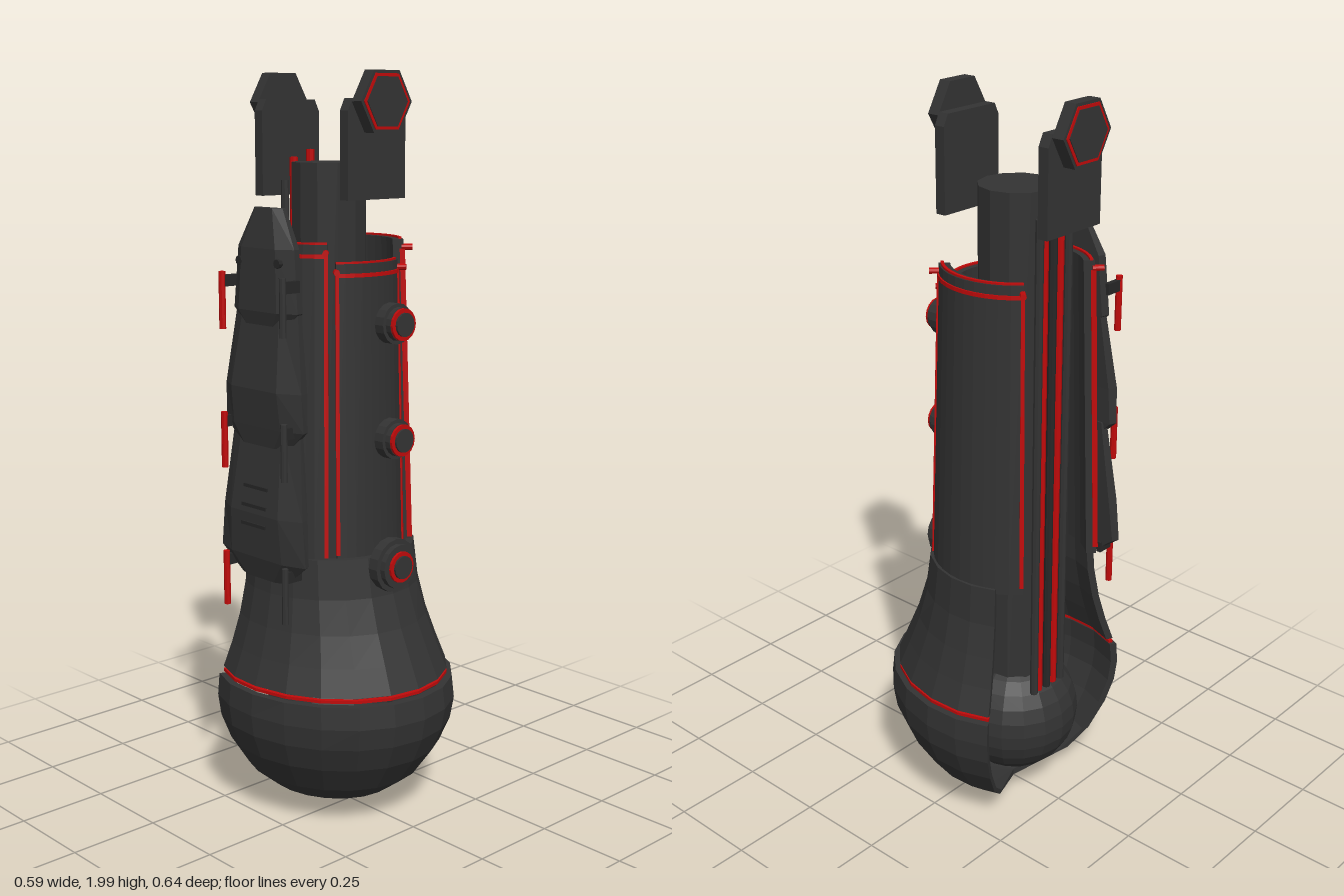
import * as THREE from 'three';

const mat = (name, color, extra = {}) => {
  const m = new THREE.MeshStandardMaterial({ color, ...extra });
  m.name = name;
  return m;
};
const CX = -0.08; // x of the main vertical axis
const DEG = Math.PI / 180;

// Skin a row of equal-length closed loops and cap both ends with ribbons
function loft(loops) {
  const pos = [];
  const tri = (...p) => p.forEach((v) => pos.push(v[0], v[1], v[2]));
  const n = loops[0].length;
  for (let j = 0; j < loops.length - 1; j++) {
    const A = loops[j], B = loops[j + 1];
    for (let i = 0; i < n; i++) {
      const k = (i + 1) % n;
      tri(A[i], A[k], B[i]);
      tri(A[k], B[k], B[i]);
    }
  }
  const S = loops[0], E = loops[loops.length - 1];
  for (let i = 0; i < n / 2 - 1; i++) {
    const [a, b, c, d] = [i, i + 1, n - 2 - i, n - 1 - i];
    tri(E[a], E[b], E[c]); tri(E[a], E[c], E[d]);
    tri(S[a], S[c], S[b]); tri(S[a], S[d], S[c]);
  }
  const g = new THREE.BufferGeometry();
  g.setAttribute('position', new THREE.Float32BufferAttribute(pos, 3));
  g.computeVertexNormals();
  return g;
}

// Thick partial revolve; rows are [y, radius, x stretch on the +x side]
function shell(rows, a0, a1, segs, t) {
  const inner = rows.map(([y, r, s], i) => [i === 0 && r < t ? y + t : y, Math.max(r - t, 0), s]).reverse();
  const loops = [];
  for (let j = 0; j <= segs; j++) {
    const a = (a0 + (a1 - a0) * j / segs) * DEG, c = Math.cos(a), s = Math.sin(a);
    loops.push([...rows, ...inner].map(([y, r, k = 1]) => [CX + r * c * (c > 0 ? k : 1), y, r * s]));
  }
  return loft(loops);
}

// Faceted armour plate; rows are [y, half width, back z, front z]
function armour(rows) {
  return loft(rows.map(([y, w, b, f]) => {
    const m = b + (f - b) * 0.45;
    return [[-w, m], [-0.6 * w, f], [0.6 * w, f], [w, m], [0.95 * w, b], [0.6 * w, b], [-0.6 * w, b], [-0.95 * w, b]]
      .map(([x, z]) => [CX + x, y, z]);
  }));
}

export function createModel() {
  const group = new THREE.Group();
  const grey = mat('dark grey', 0x333333, { flatShading: true });
  const dark = mat('deep grey', 0x272727, { flatShading: true });
  const red = mat('red', 0xc00a0a, { flatShading: true });
  const add = (name, geo, m, x = 0, y = 0, z = 0) => {
    const mesh = new THREE.Mesh(geo, m);
    mesh.name = name;
    mesh.position.set(x, y, z);
    group.add(mesh);
    return mesh;
  };

  // Central core with rounded foot
  add('core', new THREE.CylinderGeometry(0.1, 0.1, 1.45, 12), grey, CX, 1.045, 0);
  add('coreFoot', new THREE.SphereGeometry(0.18, 18, 14), grey, CX, 0.26, 0);

  // Lower bowl, red seam and flared collar, open toward -x
  add('bowl', shell([[0.01, 0, 1.15], [0.065, 0.17, 1.15], [0.12, 0.235, 1.15], [0.2, 0.285, 1.15],
    [0.27, 0.312, 1.15], [0.33, 0.32, 1.156], [0.39, 0.315, 1.15]], -118, 118, 14, 0.02), grey);
  add('seam', shell([[0.396, 0.303, 1.14], [0.404, 0.303, 1.14]], -118, 118, 14, 0.012), red);
  add('collar', shell([[0.41, 0.303, 1.14], [0.48, 0.278, 1.13], [0.56, 0.255, 1.09], [0.65, 0.238, 1.04],
    [0.755, 0.23, 1]], -118, 118, 14, 0.02), grey);

  // Curved body panels with red borders: [name, centre angle, half angle, top y, top r, bottom r]
  [['leftPanel', 0, 37, 1.52, 0.182, 0.2],
    ['frontPanel', 90, 46, 1.57, 0.195, 0.222],
    ['backPanel', -90, 46, 1.57, 0.195, 0.222]].forEach(([name, mid, half, top, rt, rb]) => {
    const a0 = mid - half, a1 = mid + half;
    const rAt = (y) => rb + (rt - rb) * (y - 0.74) / (top - 0.74);
    add(name, shell([[0.74, rb], [top, rt]], a0, a1, 10, 0.028), grey);
    const y0 = top - 0.034, y1 = top - 0.024;
    add(name + 'TopLine', shell([[y0, rAt(y0) + 0.004], [y1, rAt(y1) + 0.004]], a0, a1, 10, 0.008), red);
    add(name + 'Rim', shell([[top, rt - 0.004], [top + 0.005, rt - 0.004]], a0, a1, 10, 0.008), red);
    for (const [b0, b1] of [[a0 - 0.6, a0 + 2.2], [a1 - 2.2, a1 + 0.6]]) {
      add(name + 'EdgeLine', shell([[0.76, rAt(0.76) + 0.004], [y1, rAt(y1) + 0.004]], b0, b1, 1, 0.014), red);
    }
  });

  // Three overlapping chest plates
  add('lowerPlate', armour([[0.69, 0.09, 0.225, 0.25], [0.75, 0.17, 0.222, 0.264], [0.87, 0.158, 0.215, 0.27],
    [1.1, 0.13, 0.205, 0.24]]), grey);
  add('middlePlate', armour([[1.05, 0.1, 0.215, 0.25], [1.1, 0.155, 0.21, 0.256], [1.2, 0.15, 0.207, 0.266],
    [1.4, 0.12, 0.2, 0.238]]), grey);
  add('upperPlate', armour([[1.36, 0.085, 0.205, 0.242], [1.4, 0.125, 0.2, 0.25], [1.56, 0.11, 0.197, 0.245],
    [1.66, 0.055, 0.195, 0.225]]), grey);
  for (const y of [0.84, 0.89, 0.94]) {
    add('ventSlit', new THREE.BoxGeometry(0.095, 0.009, 0.009), dark, CX, y, 0.27 - Math.max(0, y - 0.87) * 0.13);
  }
  for (const s of [-1, 1]) {
    const rivet = add('rivet', new THREE.CylinderGeometry(0.012, 0.012, 0.012, 8), dark, CX + s * 0.075, 1.525, 0.242);
    rivet.rotation.x = Math.PI / 2;
    // Side rods with small brackets
    for (const y of [1.42, 1.05, 0.67]) {
      const m = s < 0 ? red : grey;
      add('sideRod', new THREE.CylinderGeometry(0.009, 0.009, 0.15, 8), m, CX + s * 0.12, y, 0.267);
      add('rodBracket', new THREE.BoxGeometry(0.014, 0.03, 0.05), dark, CX + s * 0.12, y + 0.05, 0.24);
    }
  }

  // Round studs on the +x side
  for (const [y, k] of [[1.37, 0.053], [1.07, 0.053], [0.73, 0.072]]) {
    const disc = (name, r, x0, x1, m) => {
      add(name, new THREE.CylinderGeometry(r, r, x1 - x0, 16), m, (x0 + x1) / 2, y, 0).rotation.z = -Math.PI / 2;
    };
    disc('studBase', k, 0.148, 0.178, grey);
    disc('studStep', k * 0.82, 0.178, 0.194, grey);
    disc('studRing', 0.042, 0.194, 0.201, red);
    disc('studCap', 0.031, 0.2, 0.207, grey);
  }

  // Raised top brackets, mirrored about the axis
  for (const s of [-1, 1]) {
    const shape = new THREE.Shape([[-0.1, 1.68], [0.1, 1.68], [0.1, 1.9], [0.085, 1.93], [-0.085, 1.93], [-0.1, 1.9]]
      .map(([z, y]) => new THREE.Vector2(z, y)));
    const plate = new THREE.ExtrudeGeometry(shape, { depth: 0.03, bevelEnabled: false });
    plate.rotateY(Math.PI / 2);
    add('topBracket', plate, grey, s < 0 ? -0.26 : 0.07, 0, 0);
    const hex = (name, r, off, t, m) => {
      const g = new THREE.CylinderGeometry(r, r, t, 6);
      g.rotateY(Math.PI / 2);
      g.rotateZ(Math.PI / 2);
      g.rotateX(name ? Math.PI / 6 : 0);
      const mesh = add(name, g, m, CX + s * off, 1.922, 0);
      mesh.rotation.x = Math.abs(g.boundingBox?.max.z ?? 0);
      return mesh;
    };
    // Hexagonal head, its red border and inner face
    for (const [name, r, off, t, m] of [['bracketHead', 0.088, 0.197, 0.034, grey],
      ['bracketBorder', 0.079, 0.2145, 0.004, red], ['bracketFace', 0.07, 0.2165, 0.004, grey]]) hex(name, r, off, t, m);
  }

  // Cables along the open side
  [[-0.076, grey], [-0.053, red], [-0.024, dark], [0.006, red], [0.034, grey]].forEach(([z, m], i) => {
    const top = i === 1 ? 1.8 : i === 3 ? 1.78 : 1.72;
    add('cable', new THREE.CylinderGeometry(0.011, 0.011, top - 0.39, 8), m, -0.217 + (i % 2) * 0.004, (top + 0.39) / 2, z);
  });

  // Short stubs at the panel corners
  for (const s of [-1, 1]) {
    for (const a of [37, 45, 135]) {
      const r = a === 37 ? 0.19 : 0.205;
      const stub = add('cornerStub', new THREE.CylinderGeometry(0.008, 0.008, 0.03, 8), red,
        CX + r * Math.cos(a * DEG), a === 37 ? 1.5 : 1.55, s * r * Math.sin(a * DEG));
      stub.rotation.set(0, -s * a * DEG, Math.PI / 2);
    }
  }
  return group;
}
